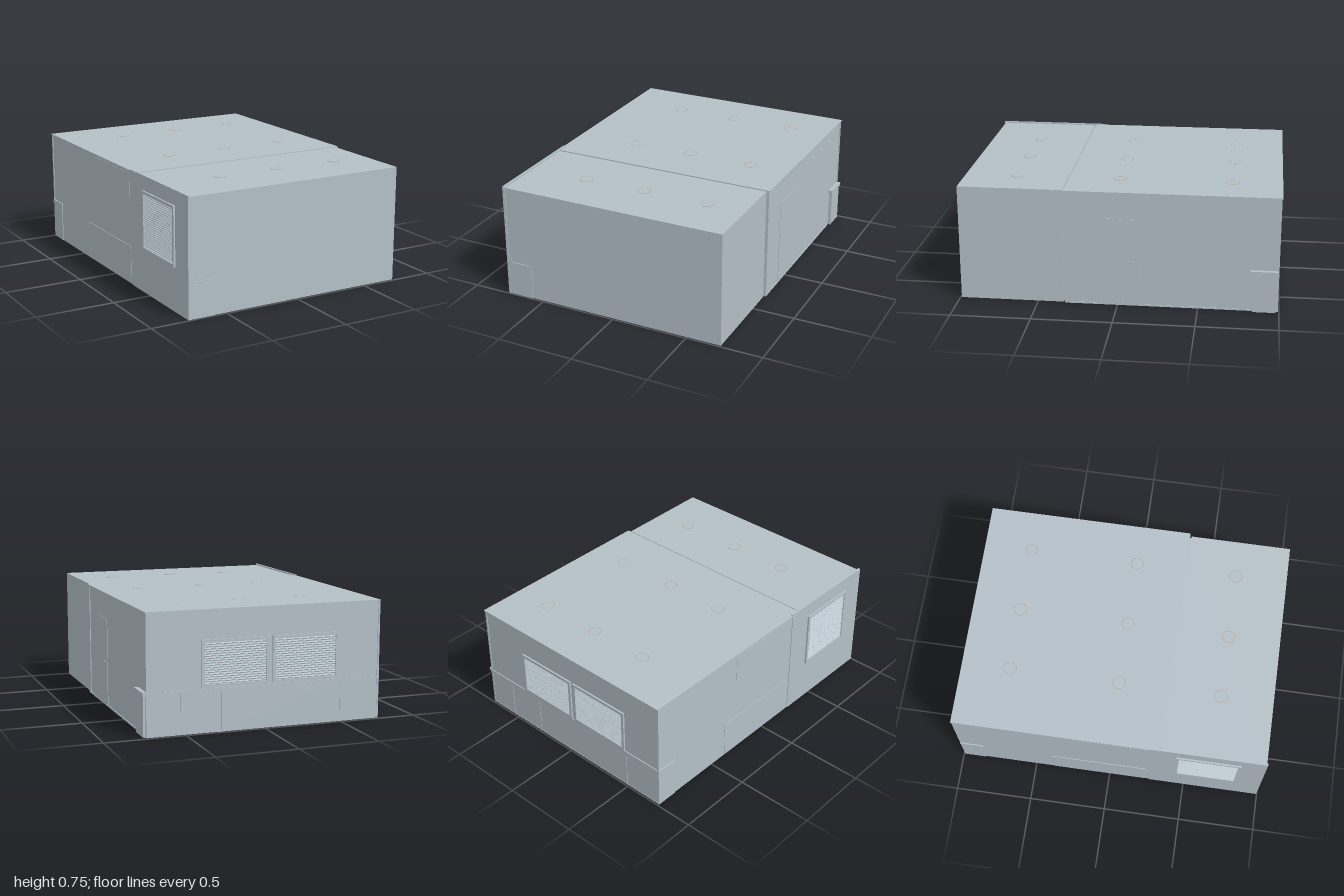
import * as THREE from 'three';

export function createModel() {
  const root = new THREE.Group();
  root.name = 'roomBlock';
  const mat = (name, color) => {
    const m = new THREE.MeshStandardMaterial({ color });
    m.name = name;
    return m;
  };
  const wall = mat('paleBlueGrey', 0xb3bfc7);
  const floorMat = mat('brownFloor', 0xa09186);
  const rimMat = mat('tanRim', 0xb09a86);

  // Box given by its lower and upper corner
  const box = (name, a, b, m = wall, parent = root) => {
    const g = new THREE.BoxGeometry(b[0] - a[0], b[1] - a[1], b[2] - a[2]);
    g.translate((a[0] + b[0]) / 2, (a[1] + b[1]) / 2, (a[2] + b[2]) / 2);
    const mesh = new THREE.Mesh(g, m);
    mesh.name = name;
    parent.add(mesh);
    return mesh;
  };

  // Main room and front room, with a narrow joint between them
  box('mainRoom', [-0.752, 0.003, -0.988], [0.737, 0.737, 0.328]);
  box('mainRoof', [-0.757, 0.735, -0.998], [0.746, 0.742, 0.33]);
  box('frontRoom', [-0.742, 0.002, 0.338], [0.727, 0.739, 0.991]);
  box('joint', [-0.735, 0.01, 0.327], [0.72, 0.73, 0.339]);
  box('frontSideWall', [-0.756, 0.002, 0.265], [-0.741, 0.748, 0.997]);
  box('jointPost', [0.73, 0.003, 0.285], [0.742, 0.738, 0.33]);

  // Corner posts and skirting
  box('backPostLeft', [0.73, 0.003, -0.993], [0.742, 0.737, -0.98]);
  box('backPostRight', [-0.756, 0.003, -0.993], [-0.744, 0.737, -0.98]);
  box('backSkirting', [-0.75, 0.003, -0.992], [0.74, 0.012, -0.985]);
  box('sideSkirting', [0.73, 0.003, -0.82], [0.741, 0.012, 0.285]);

  // Floor, with the cabinet bases seen from beneath
  box('floor', [-0.75, 0.001, -0.986], [0.735, 0.004, 0.27], floorMat);
  box('rug', [-0.275, 0, -0.67], [0.22, 0.002, -0.165], floorMat);
  box('kitchenBase', [-0.745, 0, -0.38], [-0.56, 0.002, 0.24], floorMat);
  box('dividerBase', [-0.6, 0, 0.17], [0.19, 0.002, 0.27], floorMat);
  box('frontCounterBase', [-0.74, 0, 0.345], [0.25, 0.003, 0.53]);
  box('frontSideBase', [-0.74, 0, 0.53], [-0.605, 0.003, 0.99]);
  box('backBaseEdge', [-0.745, 0, -0.842], [0.735, 0.002, -0.832]);
  box('dividerBaseEdge', [-0.6, 0, 0.165], [0.19, 0.002, 0.173]);
  for (const x of [0.535, 0.28, 0.02, -0.24, -0.49])
    box('backBaseDivider', [x - 0.004, 0, -0.986], [x + 0.004, 0.002, -0.835]);
  for (const x of [0.19, -0.07, -0.33, -0.6])
    box('baseDivider', [x - 0.004, 0, 0.17], [x + 0.004, 0.002, 0.27]);
  for (const z of [-0.38, -0.09])
    box('kitchenBaseDivider', [-0.745, 0, z - 0.004], [-0.56, 0.002, z + 0.004]);

  // Counter and cabinet backs along the back wall
  box('backCounterTop', [-0.758, 0.25, -0.994], [0.745, 0.27, -0.985]);
  const seams = [-0.75, -0.49, 0.28, 0.535, 0.738];
  for (let i = 0; i < 4; i++)
    box('backCabinet', [seams[i] + 0.002, 0.012, -0.991], [seams[i + 1] - 0.002, 0.25, -0.986]);

  // Counter ends on both sides
  box('leftCounterEnd', [0.73, 0.003, -0.98], [0.757, 0.25, -0.835]);
  box('leftCounterTop', [0.73, 0.25, -0.99], [0.763, 0.272, -0.82]);
  box('rightCounterEnd', [-0.756, 0.003, -0.985], [-0.75, 0.25, -0.85]);
  box('rightCounterTop', [-0.759, 0.25, -0.994], [-0.75, 0.27, -0.84]);

  // Kitchen cabinets on the right wall
  box('upperCabinet', [-0.754, 0.52, -0.28], [-0.75, 0.72, 0.24]);
  box('lowerCabinet', [-0.754, 0.005, -0.38], [-0.75, 0.23, 0.24]);
  box('kitchenTop', [-0.756, 0.23, -0.385], [-0.75, 0.25, 0.24]);

  // Stepped cabinet back on the front
  box('frontCabinet', [-0.742, 0.002, 0.99], [-0.578, 0.23, 0.996]);
  box('frontSplashback', [-0.742, 0.23, 0.99], [-0.722, 0.26, 0.996]);

  // Door and knob on the left wall
  box('door', [0.735, 0.01, -0.14], [0.74, 0.57, 0.12]);
  const knob = new THREE.Mesh(new THREE.SphereGeometry(0.007, 12, 8), wall);
  knob.name = 'doorKnob';
  knob.position.set(0.741, 0.29, -0.09);
  root.add(knob);

  // Framed louvre window, built facing +z and centred on its own origin
  const windowUnit = (name, w, h) => {
    const g = new THREE.Group();
    g.name = name;
    const t = 0.018;
    for (const s of [-1, 1]) {
      const x = s * (w / 2 - t / 2), y = s * (h / 2 - t / 2);
      box('frameSide', [x - t / 2, -h / 2, 0], [x + t / 2, h / 2, 0.012], wall, g);
      box('frameRail', [-w / 2 + t, y - t / 2, 0], [w / 2 - t, y + t / 2, 0.012], wall, g);
    }
    const n = Math.round((h - 2 * t) / 0.014);
    for (let i = 0; i < n; i++) {
      const slat = new THREE.Mesh(new THREE.BoxGeometry(w - 2 * t, 0.003, 0.01), wall);
      slat.name = 'slat';
      slat.position.set(0, -h / 2 + t + (i + 0.5) * (h - 2 * t) / n, 0.004);
      slat.rotation.x = 0.6;
      g.add(slat);
    }
    root.add(g);
    return g;
  };
  for (const x of [0.19, -0.262]) {
    const w = windowUnit('backWindow', 0.43, 0.285);
    w.position.set(x, 0.418, -0.987);
    w.rotation.y = Math.PI;
  }
  const side = windowUnit('sideWindow', 0.41, 0.375);
  side.position.set(-0.755, 0.467, 0.635);
  side.rotation.y = -Math.PI / 2;

  // Round ceiling lights showing through the roof
  for (const [z, top] of [[0.66, 0.742], [0.01, 0.7435], [-0.69, 0.7428]])
    for (const x of [-0.35, 0.055, 0.48]) {
      const disc = new THREE.Mesh(new THREE.CylinderGeometry(0.04, 0.04, 0.01, 32), wall);
      disc.name = 'ceilingLight';
      disc.position.set(x, top - 0.005, z);
      const rim = new THREE.Mesh(new THREE.RingGeometry(0.039, 0.042, 32), rimMat);
      rim.name = 'ceilingLightRim';
      rim.rotation.x = -Math.PI / 2;
      rim.position.set(x, top + 0.0003, z);
      root.add(disc, rim);
    }
  return root;
}
